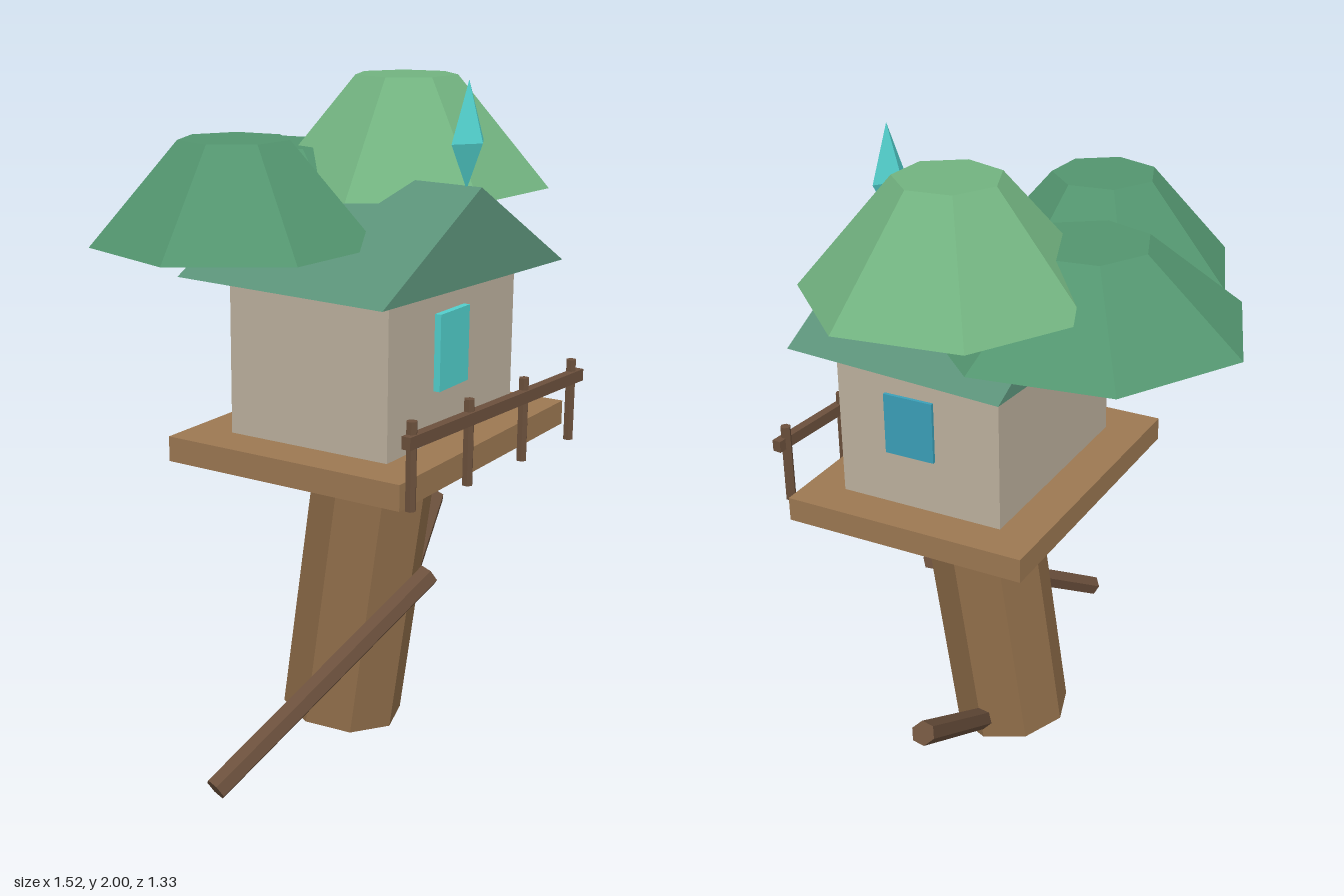
import * as THREE from 'three';

const mat = (color) => new THREE.MeshStandardMaterial({ color, flatShading: true });

const bark = mat(0x8f6d49);
const plank = mat(0x9c7852);
const darkWood = mat(0x6b503c);
const plaster = mat(0xbdb19e);
const roofGreen = mat(0x5b9279);
const leafDark = mat(0x53956f);
const leafLight = mat(0x72b380);
const cyan = mat(0x52cfcc);
const blue = mat(0x3ba0b8);

export function createModel() {
  const model = new THREE.Group();
  model.name = 'treeHouse';

  const add = (name, geometry, material, x, y, z, parent = model) => {
    const mesh = new THREE.Mesh(geometry, material);
    mesh.name = name;
    mesh.position.set(x, y, z);
    parent.add(mesh);
    return mesh;
  };

  // Straight log between two points
  const log = (name, from, to, radius, sides, material) => {
    const a = new THREE.Vector3(...from);
    const b = new THREE.Vector3(...to);
    const axis = b.clone().sub(a);
    const geometry = new THREE.CylinderGeometry(radius, radius, axis.length(), sides);
    const mid = a.add(b).multiplyScalar(0.5);
    const mesh = add(name, geometry, material, mid.x, mid.y, mid.z);
    mesh.quaternion.setFromUnitVectors(new THREE.Vector3(0, 1, 0), axis.normalize());
  };

  // Leaning trunk and two branches
  log('trunk', [-0.015, 0.025, 0.12], [0.03, 0.95, 0.225], 0.187, 8, bark);
  log('rightBranch', [-0.74, 0.075, 0.23], [0.015, 0.53, 0.42], 0.036, 6, darkWood);
  log('leftBranch', [0.16, 0.08, 0.13], [0.74, 0.48, -0.055], 0.036, 6, darkWood);

  // Platform and hut share a slight turn
  const hut = new THREE.Group();
  hut.name = 'hut';
  hut.position.set(0.02, 0, 0.204);
  hut.rotation.y = 0.08;
  model.add(hut);
  add('platform', new THREE.BoxGeometry(0.983, 0.075, 0.78), plank, 0, 0.943, 0, hut);
  add('walls', new THREE.BoxGeometry(0.727, 0.46, 0.53), plaster, 0.005, 1.21, 0.004, hut);
  add('frontWindow', new THREE.BoxGeometry(0.166, 0.225, 0.022), cyan, -0.026, 1.243, 0.278, hut);
  add('sideWindow', new THREE.BoxGeometry(0.022, 0.19, 0.16), blue, 0.368, 1.245, 0.03, hut);

  // Gabled roof
  const gable = new THREE.Shape();
  gable.moveTo(-0.457, 0);
  gable.lineTo(0.457, 0);
  gable.lineTo(0, 0.27);
  gable.closePath();
  const roof = new THREE.ExtrudeGeometry(gable, { depth: 0.725, bevelEnabled: false });
  add('roof', roof, roofGreen, 0.017, 1.44, -0.155);

  // Crystal on the front of the ridge: two four-sided pyramids
  const crystal = new THREE.Group();
  crystal.name = 'crystal';
  crystal.position.set(0.017, 1.83, 0.52);
  crystal.scale.z = 0.62;
  model.add(crystal);
  add('crystalTop', new THREE.ConeGeometry(0.08, 0.17, 4, 1, true), cyan, 0, 0.085, 0, crystal);
  add('crystalBottom', new THREE.ConeGeometry(0.08, 0.13, 4, 1, true), cyan, 0, -0.065, 0, crystal)
    .rotation.x = Math.PI;

  // Front railing
  add('rail', new THREE.BoxGeometry(0.905, 0.036, 0.028), darkWood, 0.018, 1.097, 0.647);
  for (const x of [-0.4, -0.126, 0.16, 0.43]) {
    add('railPost', new THREE.CylinderGeometry(0.016, 0.016, 0.25, 6), darkWood, x, 1.025, 0.641);
  }

  // Seven-sided leaf canopies, one corner pointing back
  const canopy = (name, x, z, bottom, top, rTop, rBottom, material) => {
    const geometry = new THREE.CylinderGeometry(rTop, rBottom, top - bottom, 7, 1, false, Math.PI);
    add(name, geometry, material, x, (bottom + top) / 2, z);
  };
  canopy('rightCanopy', -0.35, -0.011, 1.545, 1.835, 0.16, 0.413, leafDark);
  canopy('backCanopy', 0.04, -0.183, 1.525, 1.775, 0.184, 0.486, leafDark);
  canopy('leftCanopy', 0.283, 0.12, 1.65, 1.98, 0.157, 0.438, leafLight);

  return model;
}
